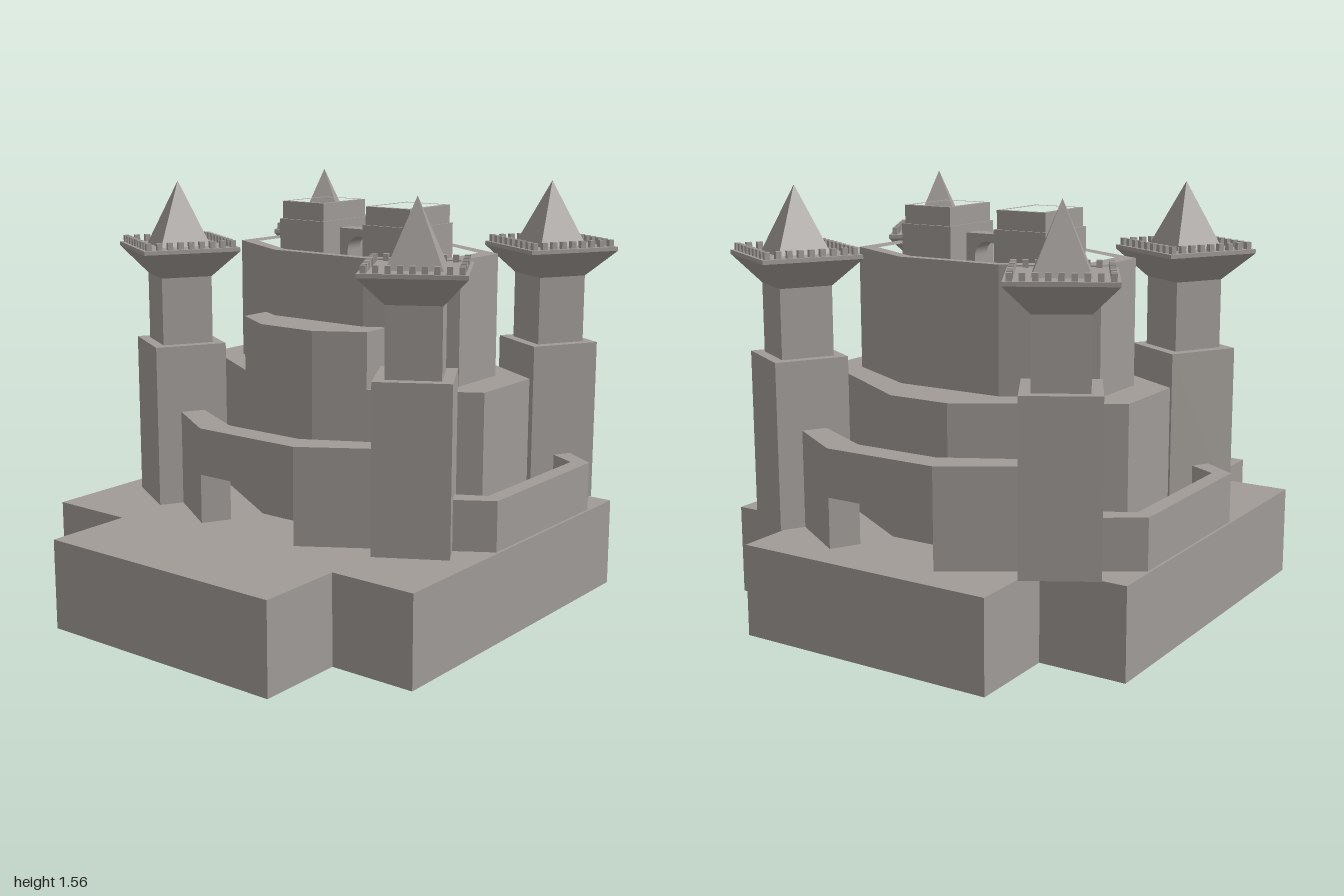
import * as THREE from 'three';
import { mergeGeometries } from 'three/addons/utils/BufferGeometryUtils.js';

const GROUND = 0.335; // top of the plinth
const CX = 0.175;     // castle centre line

const stone = new THREE.MeshStandardMaterial({ color: 0xa09b97 });
stone.name = 'stone grey';
const openStone = new THREE.MeshStandardMaterial({ color: 0xa09b97, side: THREE.DoubleSide });
openStone.name = 'open stone grey';

function add(parent, name, geometry, x = 0, y = 0, z = 0, material = stone) {
  const mesh = new THREE.Mesh(geometry, material);
  mesh.name = name;
  mesh.position.set(x, y, z);
  parent.add(mesh);
  return mesh;
}

// Points are [x, z]; an optional hole makes it a ring.
function outline(points, hole) {
  const flip = (list) => list.map(([x, z]) => new THREE.Vector2(x, -z));
  const shape = new THREE.Shape(flip(points));
  if (hole) shape.holes.push(new THREE.Path(flip(hole)));
  return shape;
}

// Upright prism between two heights
function prism(points, y0, y1, hole) {
  const g = new THREE.ExtrudeGeometry(outline(points, hole), { depth: y1 - y0, bevelEnabled: false });
  return g.rotateX(-Math.PI / 2).translate(0, y0, 0);
}

// Stretched octagon: side corners at (sx, sz), end corners at (ex, ez)
function octagon(sx, sz, ex, ez) {
  return [[sx, sz], [ex, ez], [-ex, ez], [-sx, sz], [-sx, -sz], [-ex, -ez], [ex, -ez], [sx, -sz]];
}

function rect(w, d) {
  return [[-w / 2, -d / 2], [w / 2, -d / 2], [w / 2, d / 2], [-w / 2, d / 2]];
}

// Square frustum with flat faces, standing on y
function frustum(bottom, top, height, y) {
  const g = new THREE.CylinderGeometry(top * Math.SQRT1_2, bottom * Math.SQRT1_2, height, 4)
    .rotateY(Math.PI / 4).translate(0, y + height / 2, 0).toNonIndexed();
  g.computeVertexNormals();
  return g;
}

function createPlinth() {
  const plinth = new THREE.Group();
  plinth.name = 'plinth';
  const a = 0.665, b = 0.5, c = 0.83;
  const corners = [[1, b], [a, b], [a, c], [-a, c], [-a, b], [-1, b],
    [-1, -b], [-a, -b], [-a, -c], [a, -c], [a, -b], [1, -b]];
  const wall = ([x0, z0], [x1, z1]) => {
    const g = new THREE.PlaneGeometry(Math.hypot(x1 - x0, z1 - z0), GROUND);
    return g.rotateY(Math.atan2(-(z1 - z0), x1 - x0))
      .translate((x0 + x1) / 2, GROUND / 2, (z0 + z1) / 2);
  };
  const sides = corners.map((p, i) => wall(corners[(i + 1) % corners.length], p));
  add(plinth, 'plinthSides', mergeGeometries(sides), 0, 0, 0, openStone);
  add(plinth, 'plinthRib', wall([0, c], [0, -c]), 0, 0, 0, openStone);
  add(plinth, 'plinthTop', new THREE.ShapeGeometry(outline(corners)).rotateX(-Math.PI / 2), 0, GROUND, 0, openStone);
  return plinth;
}

function createCurtainWall() {
  const wall = new THREE.Group();
  wall.name = 'curtainWall';
  const lerp = (p, q, t) => [p[0] + (q[0] - p[0]) * t, p[1] + (q[1] - p[1]) * t];
  const outSide = [0.705, 0.22], inSide = [0.605, 0.165];
  const outEnd = [0.325, 0.82], inEnd = [0.29, 0.76];
  const outMid = lerp(outSide, outEnd, 0.56), inMid = lerp(inSide, inEnd, 0.62);
  for (const s of [1, -1]) {
    const mx = (p) => [p[0] * s, p[1]];
    const mz = (p) => [p[0], p[1] * s];
    // raised span over the side gate
    add(wall, 'gateSpan', prism([outSide, inSide, [inSide[0], -inSide[1]], [outSide[0], -outSide[1]]].map(mx), 0.52, 0.695));
    // low wall between two towers
    const left = (p) => [-p[0], p[1]];
    add(wall, 'lowWall', prism([outMid, outEnd, left(outEnd), left(outMid),
      left(inMid), left(inEnd), inEnd, inMid].map(mz), GROUND, 0.52));
    // high slanted walls beside the gates
    for (const t of [1, -1]) {
      const quad = [outSide, outMid, inMid, inSide].map(([x, z]) => [x * s, z * t]);
      add(wall, 'sideWall', prism(quad, GROUND, 0.695));
    }
  }
  wall.position.x = CX;
  return wall;
}

function createKeep() {
  const keep = new THREE.Group();
  keep.name = 'keep';
  keep.position.x = CX;
  add(keep, 'lowerKeep', prism(octagon(0.475, 0.12, 0.155, 0.65), GROUND, 0.85));
  // raised terrace on one side
  add(keep, 'terrace', prism([[-0.255, -0.29], [-0.255, 0.29], [-0.373, 0.29],
    [-0.475, 0.12], [-0.475, -0.12], [-0.373, -0.29]], 0.85, 1.06));
  const inner = octagon(0.25, 0.19, 0.1, 0.45);
  add(keep, 'upperKeepWall', prism(octagon(0.29, 0.21, 0.125, 0.52), 0.85, 1.31, inner));
  add(keep, 'upperKeepFloor', prism(inner, 0.85, 1.15));
  // twin turrets with hollow tops
  for (const s of [1, -1]) {
    const turret = new THREE.Group();
    turret.name = 'turret';
    turret.position.z = s * 0.2;
    add(turret, 'turretBody', prism(rect(0.28, 0.215), 1.15, 1.41));
    add(turret, 'turretParapet', prism(rect(0.26, 0.2), 1.41, 1.478, rect(0.22, 0.165)));
    keep.add(turret);
  }
  // arched bridge joining the turrets
  const arch = new THREE.Shape();
  arch.moveTo(-0.095, 1.15);
  arch.lineTo(-0.055, 1.15);
  arch.lineTo(-0.055, 1.297);
  arch.absarc(0, 1.297, 0.055, Math.PI, 0, true);
  arch.lineTo(0.055, 1.15);
  arch.lineTo(0.095, 1.15);
  arch.lineTo(0.095, 1.38);
  arch.lineTo(-0.095, 1.38);
  const bridge = new THREE.ExtrudeGeometry(arch, { depth: 0.076, bevelEnabled: false, curveSegments: 12 });
  add(keep, 'bridge', bridge.translate(0, 0, -0.038).rotateY(Math.PI / 2));
  return keep;
}

function createTower() {
  const tower = new THREE.Group();
  tower.name = 'cornerTower';
  add(tower, 'towerBase', prism(rect(0.274, 0.274), GROUND, 0.95));
  add(tower, 'towerShaft', prism(rect(0.195, 0.195), 0.95, 1.21));
  add(tower, 'towerFlare', frustum(0.195, 0.37, 0.1, 1.205));
  add(tower, 'towerPlatform', prism(rect(0.37, 0.37), 1.305, 1.32));
  add(tower, 'towerRoof', frustum(0.195, 0, 0.242, 1.32));
  // small merlons around the platform edge
  const merlons = [];
  const count = 8, reach = 0.163;
  for (let side = 0; side < 4; side++) {
    for (let i = 0; i < count; i++) {
      merlons.push(new THREE.BoxGeometry(0.02, 0.026, 0.02)
        .translate(-reach + (2 * reach * i) / count, 1.333, reach)
        .rotateY((side * Math.PI) / 2));
    }
  }
  add(tower, 'merlons', mergeGeometries(merlons));
  return tower;
}

export function createModel() {
  const castle = new THREE.Group();
  castle.name = 'castle';
  castle.add(createPlinth(), createCurtainWall(), createKeep());
  for (const sx of [1, -1]) {
    for (const sz of [1, -1]) {
      const tower = createTower();
      tower.position.set(CX + sx * 0.447, 0, sz * 0.555);
      tower.rotation.y = (-sx * sz * Math.PI) / 6;
      castle.add(tower);
    }
  }
  return castle;
}
